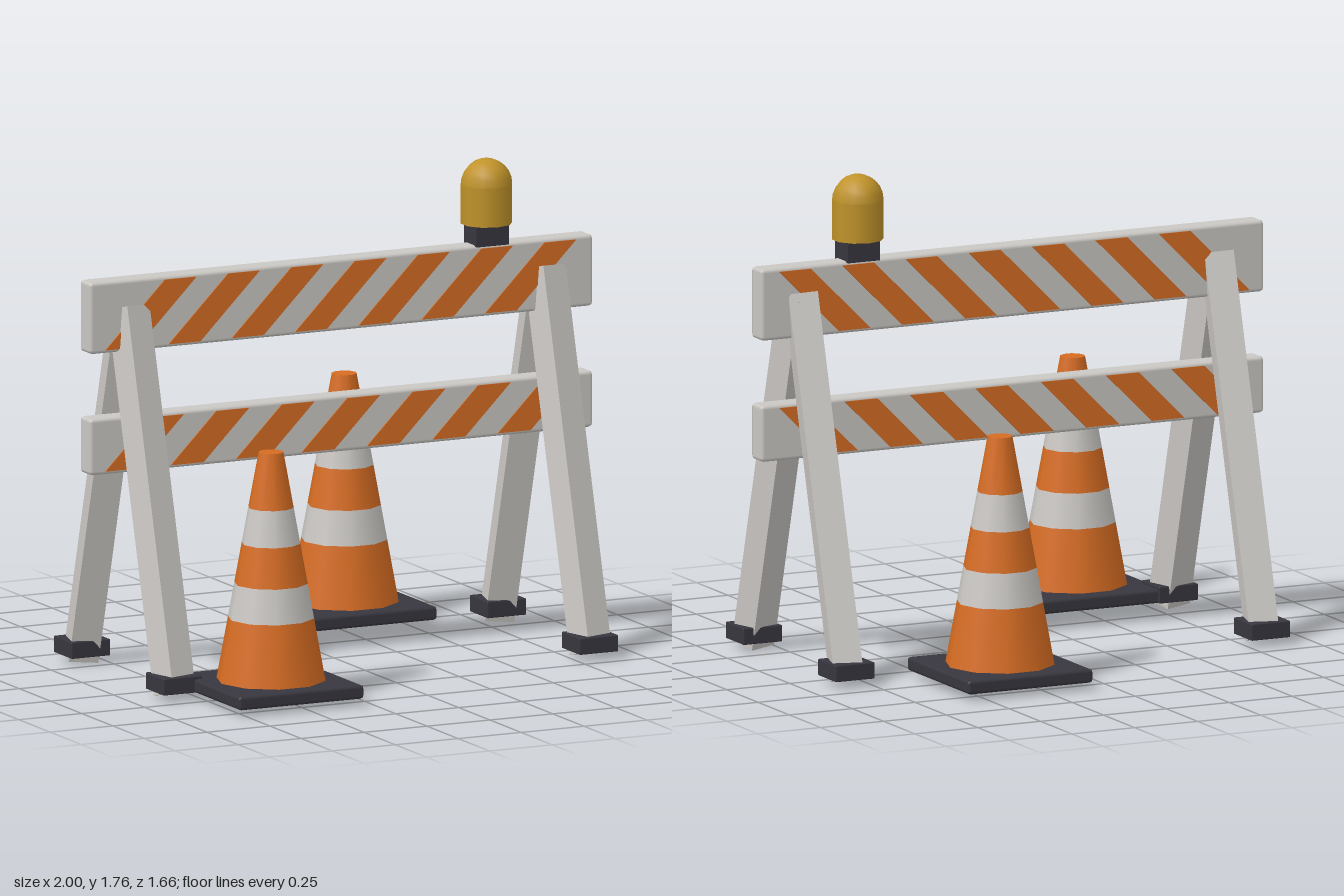
import * as THREE from 'three';
import { RoundedBoxGeometry } from 'three/addons/geometries/RoundedBoxGeometry.js';

const material = (name, color) => Object.assign(new THREE.MeshStandardMaterial({ color }), { name });

export function createModel() {
  const orange = material('safety orange', 0xd66c22);
  const white = material('off white', 0xcbc8c4);
  const dark = material('dark rubber', 0x38363e);
  const amber = material('amber', 0xc0932a);

  const model = new THREE.Group();
  model.name = 'roadBarrier';
  const MID_Z = 0.019; // centre plane of the barricade

  function add(parent, name, geometry, mat, x = 0, y = 0, z = 0) {
    const mesh = new THREE.Mesh(geometry, mat);
    mesh.name = name;
    mesh.position.set(x, y, z);
    parent.add(mesh);
    return mesh;
  }

  // Horizontal boards with slanted stripes on both faces
  function addBoard(name, bottom, top) {
    const board = new THREE.Group();
    board.name = name;
    model.add(board);
    const depth = 0.086, plate = 0.004, inset = 0.012;
    add(board, 'plank', new RoundedBoxGeometry(2, top - bottom, depth, 1, 0.014), white, 0, (bottom + top) / 2, MID_Z);

    const y0 = bottom + inset, y1 = top - inset, slant = y1 - y0;
    const count = 7, start = -0.94, end = 0.93;
    const pitch = (end - start - slant) / (count - 0.5), width = pitch / 2;
    for (let i = 0; i < count; i++) {
      const x = start + i * pitch;
      const shape = new THREE.Shape([
        new THREE.Vector2(x, y0), new THREE.Vector2(x + width, y0),
        new THREE.Vector2(x + width + slant, y1), new THREE.Vector2(x + slant, y1),
      ]);
      const geometry = new THREE.ExtrudeGeometry(shape, { depth: plate, bevelEnabled: false });
      add(board, 'frontStripe', geometry, orange, 0, 0, MID_Z + depth / 2);
      add(board, 'backStripe', geometry, orange, 0, 0, MID_Z - depth / 2 - plate);
    }
  }
  addBoard('upperBoard', 1.2, 1.46);
  addBoard('lowerBoard', 0.76, 0.965);

  // Splayed, slightly twisted legs with rubber feet
  const tilt = THREE.MathUtils.degToRad(15.5), twist = THREE.MathUtils.degToRad(16);
  const legGeometry = new THREE.BoxGeometry(0.107, 1.385, 0.107);
  const footGeometry = new RoundedBoxGeometry(0.155, 0.06, 0.146, 1, 0.004);
  for (const x of [-0.828, 0.825]) {
    for (const side of [1, -1]) {
      const prefix = side > 0 ? 'front' : 'back';
      const leg = add(model, prefix + 'Leg', legGeometry, white, x, 0.685, MID_Z + side * 0.19);
      leg.rotation.set(-side * tilt, side * twist, 0);
      add(model, prefix + 'Foot', footGeometry, dark, x, 0.056, MID_Z + side * 0.369);
    }
  }

  // Traffic cones: stacked ten-sided bands on a square base
  function addCone(x, z) {
    const cone = new THREE.Group();
    cone.name = 'trafficCone';
    cone.position.set(x, 0, z);
    model.add(cone);
    add(cone, 'coneBase', new RoundedBoxGeometry(0.497, 0.05, 0.497, 1, 0.012), dark, 0, 0.05, 0);
    const levels = [0.07, 0.3, 0.425, 0.57, 0.7, 0.9];
    const radius = (y) => THREE.MathUtils.mapLinear(y, 0.07, 0.9, 0.198, 0.045);
    for (let i = 0; i < levels.length - 1; i++) {
      const [a, b] = [levels[i], levels[i + 1]];
      const band = new THREE.CylinderGeometry(radius(b), radius(a), b - a, 10, 1, i < 4);
      const mesh = add(cone, i % 2 ? 'reflectiveBand' : 'coneBody', band, i % 2 ? white : orange, 0, (a + b) / 2, 0);
      mesh.rotation.y = Math.PI / 2;
    }
  }
  addCone(-0.535, 0.575);
  addCone(0.33, -0.584);

  // Warning lamp with domed lens
  const lamp = new THREE.Group();
  lamp.name = 'warningLamp';
  lamp.position.set(0.596, 0, MID_Z);
  model.add(lamp);
  add(lamp, 'lampMount', new THREE.BoxGeometry(0.128, 0.08, 0.103), dark, 0, 1.495, 0);
  add(lamp, 'lensBottom', new THREE.CircleGeometry(0.093, 10, Math.PI / 2), amber, 0, 1.53, 0).rotation.x = Math.PI / 2;
  add(lamp, 'lensWall', new THREE.CylinderGeometry(0.093, 0.093, 0.142, 10, 1, true), amber, 0, 1.601, 0);
  const dome = [];
  for (let i = 0; i <= 6; i++) {
    const a = (i / 6) * Math.PI / 2;
    dome.push(new THREE.Vector2(i === 6 ? 0 : 0.093 * Math.cos(a), 0.093 * Math.sin(a)));
  }
  add(lamp, 'lensDome', new THREE.LatheGeometry(dome, 10), amber, 0, 1.672, 0);

  return model;
}
